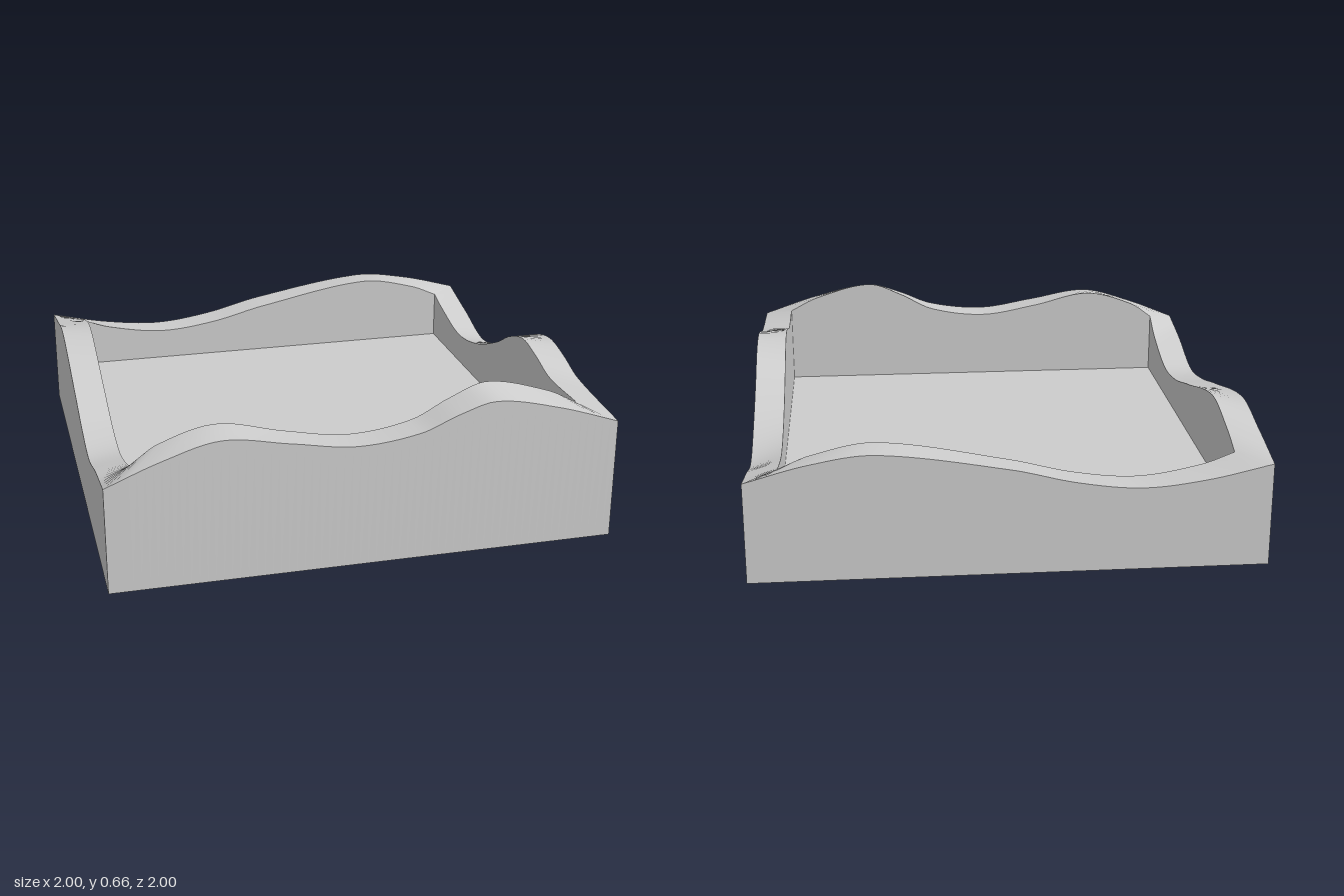
import * as THREE from 'three';

const OUT = 1, IN = 0.875, FLOOR = 0.2, STEPS = 64;

// Rim crests and dips as [position, outer height, inner height], left to right seen from outside
const FRONT = [[-1, .43, .465], [-.78, .517, .53], [-.56, .575, .59], [-.3, .535, .535], [-.05, .497, .495],
  [.2, .525, .53], [.35, .585, .605], [.5, .625, .658], [.75, .575, .597], [1, .493, .535]];
const RIGHT = [[-1, .493, .535], [-.6, .52, .533], [-.45, .56, .57], [-.3, .583, .593], [-.15, .55, .55],
  [0, .47, .47], [.25, .363, .372], [.5, .293, .33], [.75, .347, .373], [1, .404, .408]];
const BACK = [[-1, .404, .408], [-.75, .47, .46], [-.5, .5, .505], [0, .425, .42],
  [.25, .365, .36], [.5, .335, .335], [.75, .36, .375], [1, .415, .42]];
const LEFT = [[-1, .415, .42], [-.75, .465, .465], [-.48, .505, .515], [0, .405, .405],
  [.25, .345, .345], [.48, .32, .33], [.75, .385, .4], [1, .43, .465]];

// Smooth Hermite interpolation through [position, height] keys
function heightAt(keys, p) {
  const slope = (i) => {
    const a = keys[Math.max(i - 1, 0)], b = keys[Math.min(i + 1, keys.length - 1)];
    return (b[1] - a[1]) / (b[0] - a[0]);
  };
  let i = 0;
  while (i < keys.length - 2 && p > keys[i + 1][0]) i++;
  const [x0, y0] = keys[i], [x1, y1] = keys[i + 1];
  const d = x1 - x0, t = (p - x0) / d, t2 = t * t, t3 = t2 * t;
  return (2 * t3 - 3 * t2 + 1) * y0 + (t3 - 2 * t2 + t) * d * slope(i)
    + (3 * t2 - 2 * t3) * y1 + (t3 - t2) * d * slope(i + 1);
}

// Wavy edge at distance r from the centre; the end keys are pulled in to the corners
function wavyEdge(wall, r, column) {
  const keys = wall.map((key) => [THREE.MathUtils.clamp(key[0], -r, r), key[column]]);
  return { r, y: (p) => heightAt(keys, p) };
}

// Strip between two edges; an edge is { r: distance from centre, y: height function }
function strip(edgeA, edgeB) {
  const pos = [], index = [];
  for (let i = 0; i <= STEPS; i++) {
    const u = -1 + (2 * i) / STEPS;
    for (const { r, y } of [edgeA, edgeB]) pos.push(u * r, y(u * r), r);
    if (i < STEPS) {
      const a = 2 * i;
      index.push(a, a + 2, a + 3, a, a + 3, a + 1);
    }
  }
  const g = new THREE.BufferGeometry();
  g.setAttribute('position', new THREE.Float32BufferAttribute(pos, 3));
  g.setIndex(index);
  g.computeVertexNormals();
  return g;
}

export function createModel() {
  const model = new THREE.Group();
  model.name = 'wavyTray';
  const grey = new THREE.MeshStandardMaterial({ color: 0xcccccc });
  grey.name = 'lightGrey';
  const add = (parent, name, geometry) => {
    const mesh = new THREE.Mesh(geometry, grey);
    mesh.name = name;
    parent.add(mesh);
    return mesh;
  };

  // Four walls, each with an outer face, a sloping rim and an inner face
  const walls = { frontWall: FRONT, plusXWall: RIGHT, backWall: BACK, minusXWall: LEFT };
  Object.entries(walls).forEach(([name, keys], k) => {
    const wall = new THREE.Group();
    wall.name = name;
    const foot = { r: OUT, y: () => 0 };
    const outerEdge = wavyEdge(keys, OUT, 1);
    const innerEdge = wavyEdge(keys, IN, 2);
    const floorEdge = { r: IN, y: () => FLOOR };
    add(wall, 'outerFace', strip(foot, outerEdge));
    add(wall, 'rim', strip(outerEdge, innerEdge));
    add(wall, 'innerFace', strip(innerEdge, floorEdge));
    wall.rotation.y = (k * Math.PI) / 2;
    model.add(wall);
  });

  // Tray floor and underside
  const floor = add(model, 'floor', new THREE.PlaneGeometry(2 * IN, 2 * IN).rotateX(-Math.PI / 2));
  floor.position.y = FLOOR;
  add(model, 'underside', new THREE.PlaneGeometry(2 * OUT, 2 * OUT).rotateX(Math.PI / 2));
  return model;
}
